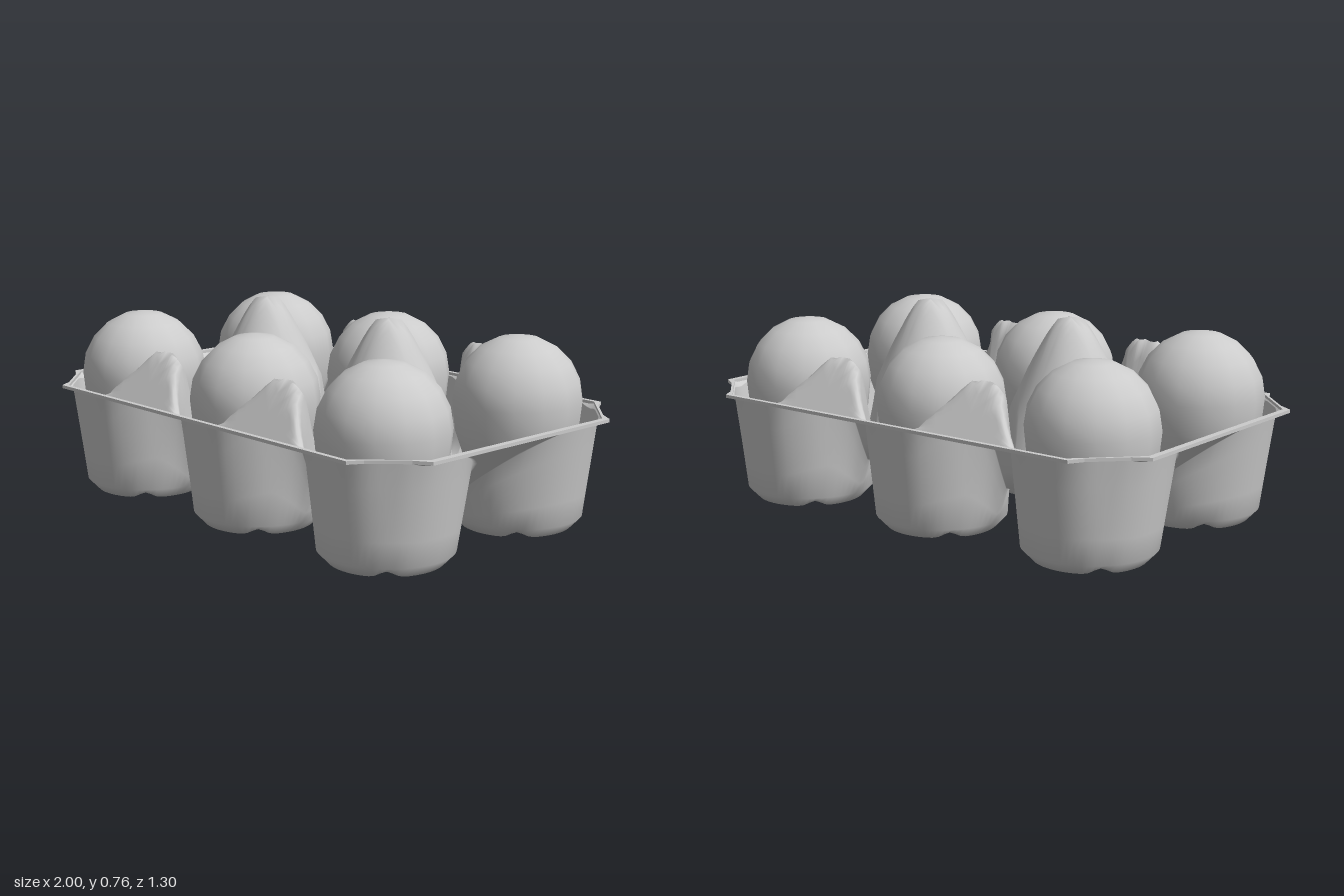
import * as THREE from 'three';
import { mergeVertices } from 'three/addons/utils/BufferGeometryUtils.js';

const PITCH = 0.67, HALF = PITCH / 2;      // spacing of the cups
const EX = 0.98, EZ = 0.637, CUT = 1.42;   // inner edge of the rim: x, z and chamfer (x + z)
const RIM_Y = 0.42;

// Linear interpolation through [x, y] pairs
function profile(pts, x) {
  for (let i = 1; i < pts.length; i++) {
    const [x0, y0] = pts[i - 1], [x1, y1] = pts[i];
    if (x <= x1) return y0 + (y1 - y0) * (x - x0) / (x1 - x0);
  }
  return pts[pts.length - 1][1];
}
const TALL = [[0, 0.76], [0.045, 0.755], [0.08, 0.71], [0.15, 0.58], [0.24, 0.38], [0.315, 0.18]];
const SMALL = [[0, 0.605], [0.02, 0.6], [0.16, 0.18]];

// Height of the pulp between the cups: saddles, sloping border, posts and side peaks
function ceiling(x, z) {
  const ax = Math.abs(x), az = Math.abs(z);
  const edge = Math.max(0, Math.min(EX - ax, EZ - az, (CUT - ax - az) / Math.SQRT2));
  const tall = profile(TALL, Math.hypot(ax - HALF, az));
  // Side peak: wide along the rim, steep towards the saddle, sloping out to the rim
  const d = Math.hypot((ax - HALF) * 0.38, Math.min(0, az - 0.5));
  const small = Math.min(profile(SMALL, d), RIM_Y + edge * 1.4);
  return Math.max(0.18, RIM_Y - edge * 0.8, tall, small);
}

// One cell: rings run from the cup floor up its wall and out to the cell border
function addCell(cx, cz, pos, idx) {
  const N = 64, FLOOR = 5, WALL = 4, OUT = 9, rings = FLOOR + WALL + OUT;
  const base = pos.length / 3;
  const floor = [[0, 0.05], [0.06, 0.045], [0.11, 0.012], [0.205, 0], [0.243, 0.04]];
  for (let i = 0; i < rings; i++) {
    for (let j = 0; j < N; j++) {
      const a = j / N * Math.PI * 2, c = Math.cos(a), s = Math.sin(a);
      const m = Math.max(Math.abs(c), Math.abs(s));
      // Border point of the cell, chamfered at the tray corners
      let bx = c / m * (c * cx > 0.01 ? EX - PITCH : HALF);
      let bz = s / m * (s * cz > 0 ? EZ - HALF : HALF);
      const sum = Math.abs(cx + bx) + Math.abs(cz + bz);
      if (sum > CUT) {
        const k = (CUT - Math.abs(cx) - Math.abs(cz)) / (sum - Math.abs(cx) - Math.abs(cz));
        bx *= k; bz *= k;
      }
      // Wall top: close to the egg beside the posts, wide elsewhere
      const rb = Math.hypot(bx, bz), diag = Math.sin(2 * a) ** 2;
      const inner = s * cz < 0 && (cx === 0 || c * cx < 0);
      const rw = Math.min(0.3 - (inner ? 0.035 : 0.01) * diag, rb * 0.97);
      const wx = bx / rb * rw, wz = bz / rb * rw;
      let x, z, y;
      if (i < FLOOR + WALL) {
        const f = floor[Math.min(i, FLOOR - 1)];
        const t = Math.max(0, (i - FLOOR + 1) / WALL);
        // Narrow grooves between the four feet
        const groove = i === 2 || i === 3 ? 0.02 * diag ** 10 : 0;
        x = bx / rb * (f[0] + (rw - f[0]) * t);
        z = bz / rb * (f[0] + (rw - f[0]) * t);
        y = f[1] + groove + (ceiling(cx + wx, cz + wz) - f[1]) * t;
      } else {
        const t = (i - FLOOR - WALL + 1) / OUT;
        x = wx + (bx - wx) * t;
        z = wz + (bz - wz) * t;
        y = ceiling(cx + x, cz + z);
      }
      pos.push(cx + x, y, cz + z);
      if (i < rings - 1) {
        const p = base + i * N + j, q = base + i * N + (j + 1) % N;
        if (i > 0) idx.push(p, q, p + N);
        idx.push(q, q + N, p + N);
      }
    }
  }
}

// Closed outline from the corner points of one quarter, mirrored to all four
function outline(Type, quarter) {
  const mirror = (sx, sz) => quarter.map(([x, z]) => new THREE.Vector2(x * sx, z * sz));
  return new Type([...mirror(1, 1), ...mirror(1, -1).reverse(),
    ...mirror(-1, -1), ...mirror(-1, 1).reverse()]);
}

export function createModel() {
  const group = new THREE.Group();
  const pulp = new THREE.MeshStandardMaterial({ color: 0xcccccc, side: THREE.DoubleSide });
  const shell = new THREE.MeshStandardMaterial({ color: 0xcccccc });
  const add = (name, geo, mat) => {
    const mesh = new THREE.Mesh(geo, mat);
    mesh.name = name;
    group.add(mesh);
    return mesh;
  };

  // Egg: sphere with a longer lower half
  let eggGeo = new THREE.SphereGeometry(0.24, 14, 10);
  const v = eggGeo.attributes.position;
  for (let i = 0; i < v.count; i++) if (v.getY(i) < 0) v.setY(i, v.getY(i) * 1.5);
  eggGeo.deleteAttribute('uv');
  eggGeo.deleteAttribute('normal');
  eggGeo = mergeVertices(eggGeo, 1e-4);
  eggGeo.computeVertexNormals();

  // Moulded tray and the six eggs
  const pos = [], idx = [];
  for (const cx of [-PITCH, 0, PITCH]) {
    for (const cz of [-HALF, HALF]) {
      addCell(cx, cz, pos, idx);
      add('egg', eggGeo, shell).position.set(cx - 0.01, 0.46, cz * 1.02);
    }
  }
  let tray = new THREE.BufferGeometry();
  tray.setAttribute('position', new THREE.Float32BufferAttribute(pos, 3));
  tray.setIndex(idx);
  tray = mergeVertices(tray, 1e-4);
  tray.computeVertexNormals();
  add('tray', tray, pulp);

  // Thin flat lip around the tray, notched at the cut corners
  const lip = outline(THREE.Shape, [[0.8, 0.65], [0.83, 0.597], [0.94, 0.487], [1, 0.45]]);
  lip.holes.push(outline(THREE.Path, [[0.782, 0.632], [0.975, 0.439]]));
  const lipGeo = new THREE.ExtrudeGeometry(lip, { depth: 0.012, bevelEnabled: false });
  lipGeo.rotateX(-Math.PI / 2);
  add('rim', lipGeo, pulp).position.y = RIM_Y - 0.005;

  return group;
}
